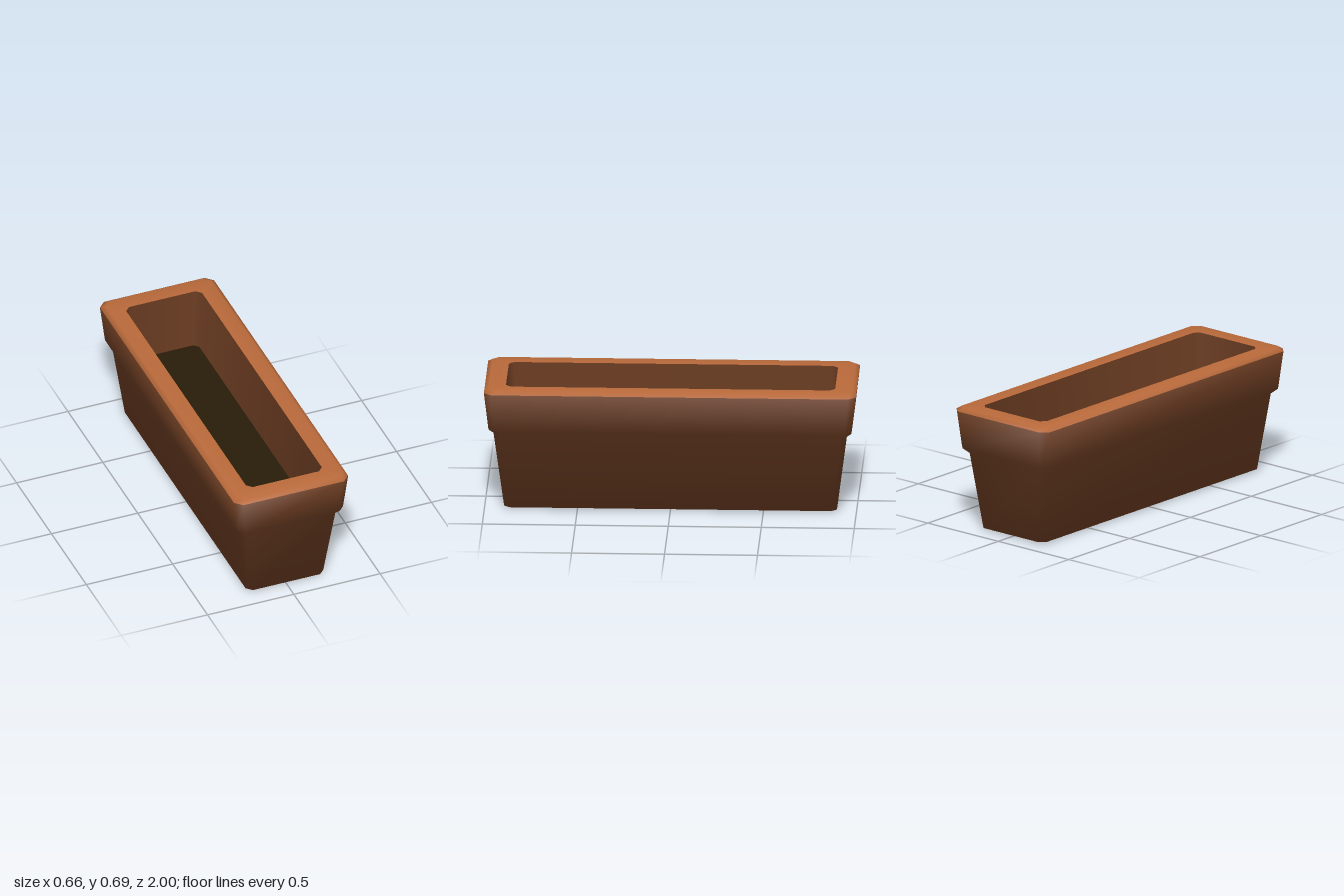
import * as THREE from 'three';

// Rectangular ring with chamfered corners: half width, half length, height, chamfer
function ring([hx, hz, y, c]) {
  return [
    [hx, hz - c], [hx - c, hz], [-hx + c, hz], [-hx, hz - c],
    [-hx, -hz + c], [-hx + c, -hz], [hx - c, -hz], [hx, -hz + c],
  ].map(([x, z]) => new THREE.Vector3(x, y, z));
}

// Skin joining successive rings; every face counts equally in the smooth normals
function loft(rings) {
  const points = rings.flatMap(ring);
  const normals = points.map(() => new THREE.Vector3());
  const index = [];
  for (let i = 0; i < rings.length - 1; i++) {
    for (let j = 0; j < 8; j++) {
      const a = i * 8 + j, b = i * 8 + (j + 1) % 8, c = b + 8, d = a + 8;
      index.push(a, d, b, b, d, c);
      const normal = points[c].clone().sub(points[a])
        .cross(points[b].clone().sub(points[d])).normalize();
      for (const k of [a, b, c, d]) normals[k].add(normal);
    }
  }
  const flat = (list) => new THREE.Float32BufferAttribute(list.flatMap((v) => v.toArray()), 3);
  const geometry = new THREE.BufferGeometry();
  geometry.setAttribute('position', flat(points));
  geometry.setAttribute('normal', flat(normals.map((n) => n.normalize())));
  geometry.setIndex(index);
  return geometry;
}

function colour(name, hex) {
  const material = new THREE.MeshStandardMaterial({ color: hex });
  material.name = name;
  return material;
}

export function createModel() {
  const group = new THREE.Group();
  group.name = 'planterBox';

  const terracotta = colour('light terracotta', 0xb8693a);
  const brown = colour('brown clay', 0x693b21);
  const earth = colour('dark soil', 0x281c08);

  const add = (name, geometry, material) => {
    const mesh = new THREE.Mesh(geometry, material);
    mesh.name = name;
    group.add(mesh);
  };

  // Hollow underside, foot, tapered walls, overhanging collar and flat rim
  const shell = [
    [0, 0.66, 0.15, 0],
    [0.13, 0.79, 0.15, 0.02],
    [0.15, 0.81, 0, 0.02],
    [0.225, 0.895, 0.01, 0.03],
    [0.28, 0.95, 0.435, 0.035],
    [0.309, 0.976, 0.462, 0.035],
    [0.331, 1.0, 0.672, 0.04],
    [0.306, 0.975, 0.689, 0.035],
    [0.22, 0.885, 0.688, 0.028],
  ];
  const shellGeometry = loft(shell);
  // The bevel and the flat top of the rim are the lighter clay
  const rimStart = 6 * 48;
  shellGeometry.addGroup(0, rimStart, 0);
  shellGeometry.addGroup(rimStart, 2 * 48, 1);
  add('outerShellAndRim', shellGeometry, [brown, terracotta]);

  // Sloping inside wall
  add('innerWall', loft([
    [0.22, 0.885, 0.688, 0.028],
    [0.194, 0.86, 0.33, 0.025],
  ]), brown);

  // Soil bed
  add('soil', loft([
    [0.196, 0.862, 0.35, 0.025],
    [0.15, 0.81, 0.355, 0.02],
    [0, 0.66, 0.36, 0],
  ]), earth);

  return group;
}
